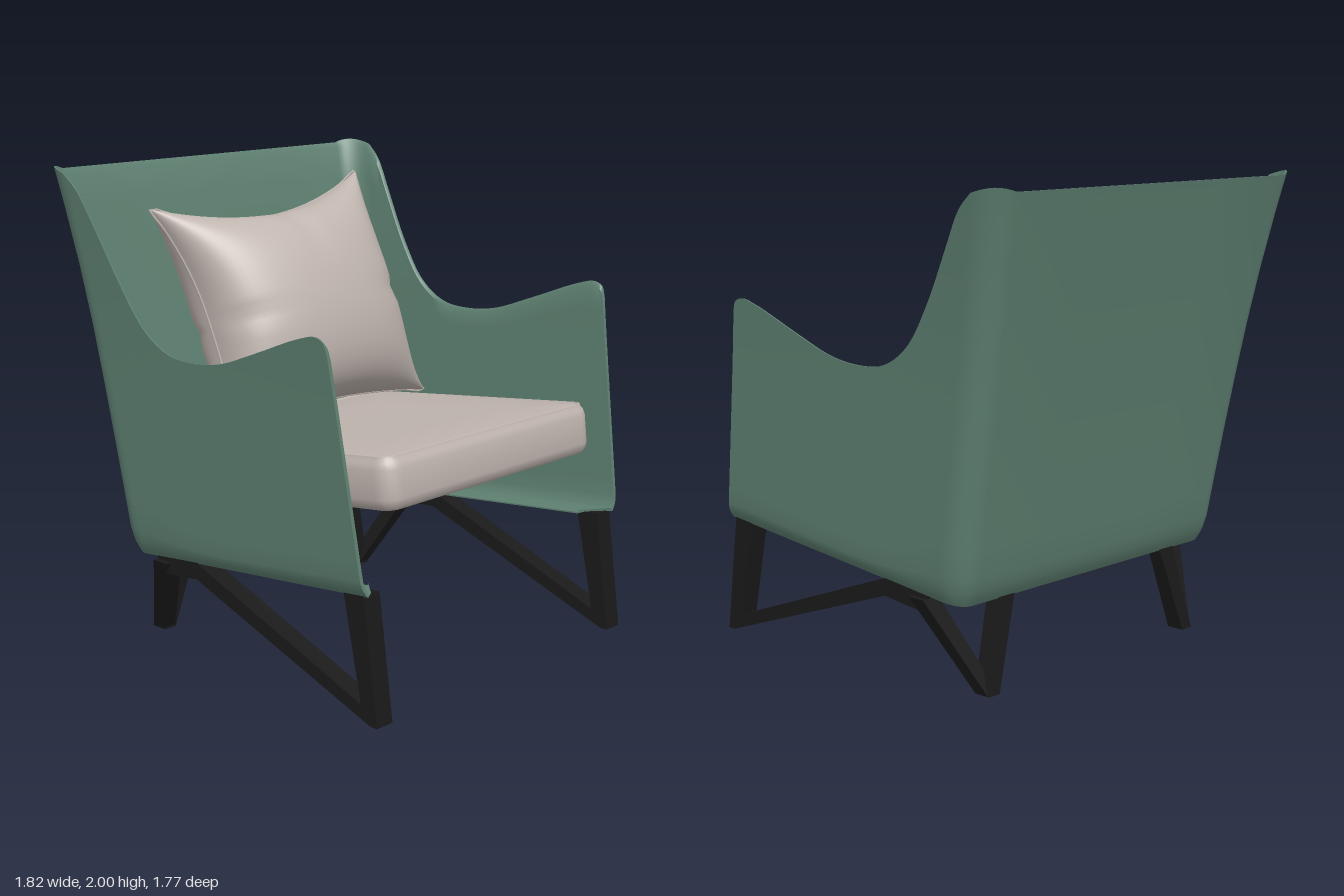
import * as THREE from 'three';
import { toCreasedNormals } from 'three/addons/utils/BufferGeometryUtils.js';

const { lerp, clamp } = THREE.MathUtils;
const V = (x, y, z) => new THREE.Vector3(x, y, z);

// Surface through rows of points; wrap joins the end of each row to its start
function loft(rows, wrap, caps = []) {
  const n = rows[0].length, pos = [], idx = [];
  rows.forEach(r => r.forEach(p => pos.push(p.x, p.y, p.z)));
  for (let i = 0; i < rows.length - 1; i++) {
    for (let j = 0; j < (wrap ? n : n - 1); j++) {
      const k = (j + 1) % n, a = i * n + j, b = i * n + k, c = a + n, d = b + n;
      idx.push(a, c, b, b, c, d);
    }
  }
  const g = new THREE.BufferGeometry();
  g.setAttribute('position', new THREE.Float32BufferAttribute(pos, 3));
  g.setIndex(idx.concat(caps));
  return toCreasedNormals(g, 0.7);
}

// Armchair shell: arms, back and inturned bottom flange in one thin wall
function shellGeometry() {
  const thick = 0.016;
  const width = y => 0.8 + 0.05 * (y - 0.5) + 0.06 * Math.max(0, y - 1.2) ** 2;
  const base = z => 0.51 + (z - 0.83) * 0.0965;
  // arm rim: top z, top y, matching bottom z
  const rim = new THREE.CatmullRomCurve3([
    [0.70, 1.42, 0.835], [0.685, 1.465, 0.82], [0.64, 1.485, 0.77], [0.55, 1.465, 0.68],
    [0.30, 1.37, 0.42], [0.10, 1.30, 0.24], [-0.07, 1.28, 0.10], [-0.22, 1.30, -0.05],
    [-0.35, 1.385, -0.15], [-0.47, 1.55, -0.24], [-0.60, 1.78, -0.33],
    [-0.68, 1.915, -0.39], [-0.75, 1.98, -0.45]].map(p => V(...p)));
  const cols = rim.getPoints(60).map(p => ({ zt: p.x, yt: p.y, zb: p.z, a: 0, k: 1 }));
  for (let i = 1; i <= 8; i++) {
    const a = i / 8 * Math.PI / 2, s = Math.sin(a);
    cols.push({ zt: -0.75 - 0.135 * s, yt: 1.98 + 0.005 * s + 0.017 * Math.sin(2 * a), zb: -0.45 - 0.12 * s, a, k: 1 });
  }
  cols.push({ ...cols[cols.length - 1], k: 0.5 });
  const steps = [0, 0.015, 0.035, 0.07, 0.15, 0.3, 0.45, 0.6, 0.75, 0.9, 0.985, 1];
  const section = (c, side) => {
    const point = (t, off) => {
      const y = lerp(base(c.zb), c.yt, t);
      const tuck = off * (t === 1 ? 0.4 : 1) + 0.03 * Math.max(0, 1 - t / 0.07) ** 2;
      const x = (width(y) - 0.1 * (1 - Math.cos(c.a))) * c.k - tuck * Math.cos(c.a);
      const bow = 0.06 * t * (1 - t);
      return V(side * x, y + (t === 0 ? off : 0), lerp(c.zb, c.zt, t) + (tuck + bow) * Math.sin(c.a));
    };
    const outer = steps.map(t => point(t, 0)), inner = steps.map(t => point(t, thick));
    const lip = dy => V(clamp(outer[0].x, -0.66, 0.66), base(c.zb) + dy, clamp(c.zb, -0.4, 0.73));
    return [lip(0), ...outer, ...inner.reverse(), lip(0.006)];
  };
  const mid = { ...cols[cols.length - 1], k: 0 };
  const rows = [...cols.map(c => section(c, 1)), section(mid, 1),
    ...cols.slice().reverse().map(c => section(c, -1))];
  // close the front ends of both arms
  const n = rows[0].length, last = (rows.length - 1) * n, caps = [];
  for (let i = 0; i < n / 2 - 1; i++) {
    const a = i, b = i + 1, c = n - 2 - i, d = n - 1 - i;
    caps.push(a, b, c, a, c, d);
    caps.push(last + a, last + c, last + b, last + a, last + d, last + c);
  }
  return loft(rows, true, caps);
}

// Rounded square slab with a raised seam and a hollow underside
function seatGeometry() {
  const profile = [[0.634, 0.104], [0.3, 0.104], [0.06, 0.1], [0.032, 0.095], [0.027, 0.102],
    [0.019, 0.1], [0.016, 0.088], [0.006, 0.075], [0, 0.05], [0, -0.065], [0.01, -0.095],
    [0.03, -0.11], [0.09, -0.118], [0.096, -0.11], [0.1, -0.01], [0.634, -0.01]];
  const rows = profile.map(([inset, y]) => {
    const half = 0.637 - inset, r = Math.min(half, Math.max(0.08 - inset, 0.025)), ring = [];
    for (let q = 0; q < 4; q++) {
      for (let i = 0; i <= 6; i++) {
        const a = (q + i / 6) * Math.PI / 2;
        const sx = q === 0 || q === 3 ? 1 : -1, sz = q < 2 ? 1 : -1;
        ring.push(V(sx * (half - r) + r * Math.cos(a), y, sz * (half - r) + r * Math.sin(a)));
      }
    }
    return ring;
  });
  return loft(rows, true);
}

// Point on the pillow: u across, v up, both from -1 to 1; depth is the puff
const corners = [V(-0.58, 0.92, -0.18), V(0.62, 0.92, -0.13), V(-0.65, 1.83, -0.52), V(0.53, 1.9, -0.48)];
function pillowPoint(u, v, depth) {
  const vs = v * (1 - (v > 0 ? 0.25 : 0.1) * (1 - u * u) * v * v);
  const us = u * (1 - 0.2 * (1 - (v > 0 ? v * v : v ** 4)) * u * u);
  const low = corners[0].clone().lerp(corners[1], (us + 1) / 2);
  const high = corners[2].clone().lerp(corners[3], (us + 1) / 2);
  const p = low.lerp(high, (vs + 1) / 2);
  // soft puff with creases at the top and the two sides
  const crease = 0.3 * Math.exp(-((u / 0.07) ** 2)) * Math.max(0, v) ** 3
    + 0.25 * Math.exp(-(((v + 0.1) / 0.07) ** 2)) * Math.abs(u) ** 4;
  const puff = Math.max(0, 1 - u * u) ** 0.42 * Math.max(0, 1 - v * v) ** 0.47 * (1 - 0.08 * v) * (1 - crease);
  return p.addScaledVector(V(0, 0.36, 0.93), depth * puff);
}

// One face of the pillow; dir is 1 for the front and -1 for the back
function pillowFace(dir) {
  const rows = [], n = 40, ease = i => Math.sin((i / n - 0.5) * Math.PI);
  for (let i = 0; i <= n; i++) {
    const row = [];
    for (let j = 0; j <= n; j++) row.push(pillowPoint(dir * ease(i), ease(j), dir > 0 ? 0.29 : -0.26));
    rows.push(row);
  }
  return loft(rows, false);
}

// Tapered bar with level rectangular ends: centre plus x and z size
function bar(top, topSize, foot, footSize) {
  const g = new THREE.BoxGeometry(1, 1, 1), p = g.attributes.position;
  for (let i = 0; i < p.count; i++) {
    const up = p.getY(i) > 0, c = up ? top : foot, s = up ? topSize : footSize;
    p.setXYZ(i, c.x + p.getX(i) * s[0], c.y, c.z + p.getZ(i) * s[1]);
  }
  g.computeVertexNormals();
  return g;
}

export function createModel() {
  const green = new THREE.MeshStandardMaterial({ color: 0x5f8172, side: THREE.DoubleSide });
  green.name = 'green upholstery';
  const fabric = new THREE.MeshStandardMaterial({ color: 0xc0b5af, side: THREE.DoubleSide });
  fabric.name = 'beige fabric';
  const black = new THREE.MeshStandardMaterial({ color: 0x1a1a1a });
  black.name = 'black wood';

  const model = new THREE.Group();
  model.name = 'armchair';
  const add = (name, geometry, material, parent = model) => {
    const m = new THREE.Mesh(geometry, material);
    m.name = name;
    parent.add(m);
    return m;
  };

  add('shell', shellGeometry(), green);

  const seat = add('seatCushion', seatGeometry(), fabric);
  seat.rotation.x = -0.118;
  seat.position.set(-0.003, 0.84, 0.185);

  // Pillow with piping along its seam
  const pillow = new THREE.Group();
  pillow.name = 'pillow';
  model.add(pillow);
  add('pillowFront', pillowFace(1), fabric, pillow);
  add('pillowBack', pillowFace(-1), fabric, pillow);
  const seam = [];
  for (let q = 0; q < 4; q++) {
    for (let i = 0; i < 10; i++) {
      const s = i / 5 - 1;
      seam.push(pillowPoint(...[[s, -1], [1, s], [-s, 1], [-1, -s]][q], 0));
    }
  }
  add('pillowPiping', new THREE.TubeGeometry(new THREE.CatmullRomCurve3(seam, true), 120, 0.005, 6, true), fabric, pillow);

  // Leg frames: front leg and long rail in one outline, then the splayed rear V
  const outline = new THREE.Shape([[0.885, 0], [0.815, 0.512], [0.71, 0.502], [0.8, 0.075], [-0.13, 0.422],
    [-0.38, 0.395], [-0.32, 0.33], [-0.13, 0.35], [0.85, 0]].map(p => new THREE.Vector2(...p)));
  for (const side of [1, -1]) {
    const frame = new THREE.Group();
    frame.name = side > 0 ? 'leftLegFrame' : 'rightLegFrame';
    model.add(frame);
    const g = new THREE.ExtrudeGeometry(outline, { depth: 0.086, bevelEnabled: false });
    g.rotateY(-Math.PI / 2).translate(side * 0.73 + 0.043, 0, 0);
    add('frontLegAndRail', g, black, frame);
    const foot = V(side * 0.61, 0, -0.54);
    add('rearBrace', bar(V(side * 0.755, 0.385, -0.335), [0.085, 0.08], foot, [0.06, 0.07]), black, frame);
    add('rearLeg', bar(V(side * 0.5, 0.385, -0.51), [0.09, 0.065], foot, [0.06, 0.08]), black, frame);
  }
  return model;
}
